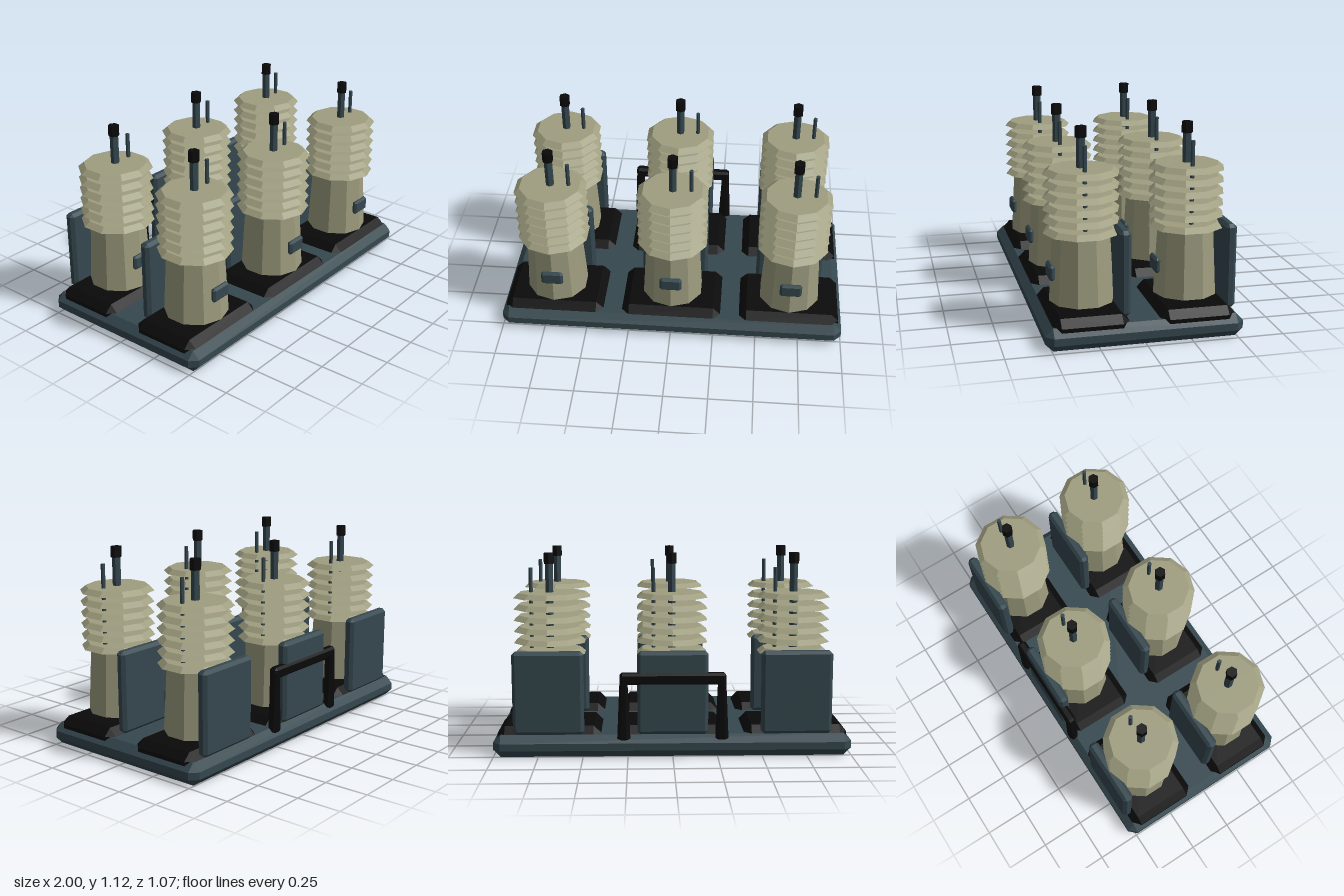
import * as THREE from 'three';
import { ConvexGeometry } from 'three/addons/geometries/ConvexGeometry.js';

function makeMaterial(name, color) {
  const m = new THREE.MeshStandardMaterial({ color });
  m.name = name;
  return m;
}

// Box of the given full size with every edge and corner chamfered by b
function chamferBox(w, h, d, b) {
  const x = w / 2, y = h / 2, z = d / 2, pts = [];
  for (const sx of [-1, 1]) for (const sy of [-1, 1]) for (const sz of [-1, 1]) {
    pts.push(
      new THREE.Vector3(sx * x, sy * (y - b), sz * (z - b)),
      new THREE.Vector3(sx * (x - b), sy * y, sz * (z - b)),
      new THREE.Vector3(sx * (x - b), sy * (y - b), sz * z)
    );
  }
  return new ConvexGeometry(pts);
}

// Faceted cylinder standing from y0 to y1
function prism(rTop, rBottom, y0, y1, sides) {
  const g = new THREE.CylinderGeometry(rTop, rBottom, y1 - y0, sides).toNonIndexed();
  g.computeVertexNormals();
  g.translate(0, (y0 + y1) / 2, 0);
  return g;
}

function add(parent, name, geometry, material, x = 0, y = 0, z = 0) {
  const mesh = new THREE.Mesh(geometry, material);
  mesh.name = name;
  mesh.position.set(x, y, z);
  parent.add(mesh);
  return mesh;
}

export function createModel() {
  const slate = makeMaterial('slate metal', 0x35484f);
  const ceramic = makeMaterial('beige ceramic', 0x9f9e80);
  const black = makeMaterial('black rubber', 0x0a0a0a);

  const model = new THREE.Group();
  model.name = 'insulatorBank';

  add(model, 'basePlate', chamferBox(2, 0.125, 1.07, 0.042), slate, 0, 0.0625, 0);

  // Geometry shared by all six units
  const pad = chamferBox(0.58, 0.12, 0.41, 0.042);
  const body = prism(0.157, 0.178, 0.18, 0.55, 10);
  const shed = prism(0.175, 0.208, 0, 0.027, 10);
  const rod = prism(0.024, 0.024, 0.5, 1.07, 6);
  const cap = prism(0.031, 0.031, 1.06, 1.12, 6);
  const pin = prism(0.012, 0.012, 0.54, 1.037, 6);
  const backPanel = chamferBox(0.394, 0.466, 0.062, 0.018);
  const box = chamferBox(0.126, 0.084, 0.032, 0.012);

  // Two rows of three units
  for (const z of [-0.288, 0.288]) for (const x of [-0.69, 0, 0.69]) {
    const unit = new THREE.Group();
    unit.name = 'insulatorUnit';
    unit.position.set(x, 0, z);
    add(unit, 'pad', pad, black, 0, 0.107, 0);
    add(unit, 'body', body, ceramic);
    for (let i = 0; i < 6; i++) add(unit, 'shed', shed, ceramic, 0, 0.556 + i * 0.0634, 0);
    add(unit, 'rod', rod, slate);
    add(unit, 'rodCap', cap, black);
    add(unit, 'pin', pin, slate, 0.104, 0, 0);
    add(unit, 'backPanel', backPanel, slate, 0, 0.36, -0.198);
    add(unit, 'frontBox', box, slate, 0, 0.347, 0.169);
    model.add(unit);
  }

  // Rear handle: a bar on two legs that widen toward the base
  const handle = new THREE.Group();
  handle.name = 'rearHandle';
  add(handle, 'handleBar', chamferBox(0.59, 0.065, 0.056, 0.014), black, 0, 0.4425, -0.501);
  const leg = chamferBox(0.04, 0.37, 0.056, 0.012);
  const p = leg.attributes.position;
  for (let i = 0; i < p.count; i++) {
    const down = 0.5 - p.getY(i) / 0.37;
    p.setX(i, p.getX(i) * (1 + 0.85 * down));
  }
  leg.computeVertexNormals();
  for (const s of [-1, 1]) add(handle, 'handleLeg', leg, black, s * 0.273, 0.28, -0.501);
  model.add(handle);

  return model;
}
